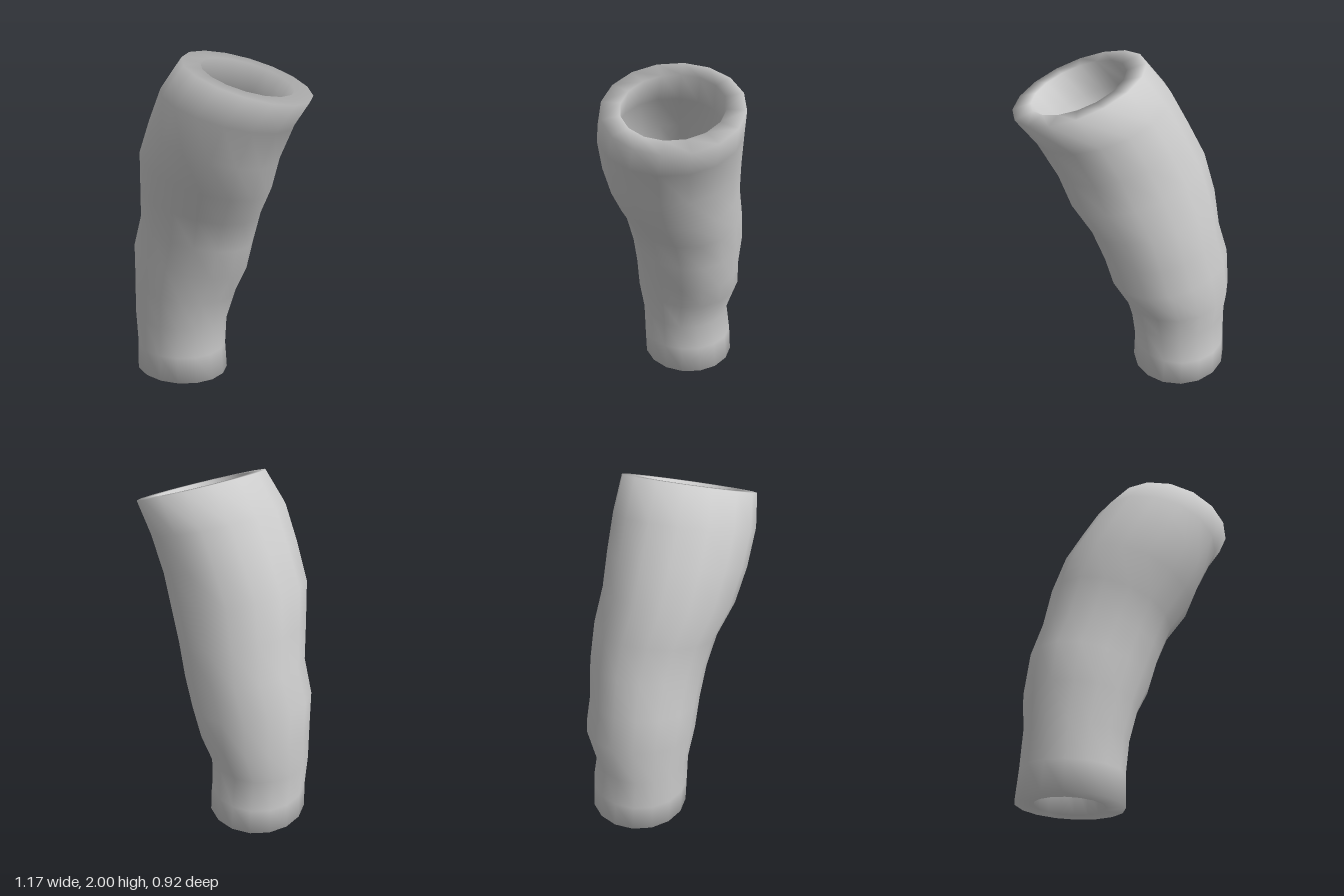
import * as THREE from 'three';

const SIDES = 16;
const WALL = 0.1;

// Tilted elliptical sections, bottom to top:
// left y, left x (-x side), right y, right x (+x side), front z, back z, front/back tilt
const SECTIONS = [
  [0.04, -0.59, 0.01, -0.01, 0.135, -0.44, 0],
  [0.20, -0.58, 0.18, -0.02, 0.14, -0.43, 0],
  [0.40, -0.585, 0.36, 0.00, 0.145, -0.40, 0],
  [0.62, -0.58, 0.54, 0.05, 0.18, -0.46, 0],
  [0.84, -0.57, 0.70, 0.135, 0.20, -0.435, 0],
  [1.04, -0.505, 0.88, 0.18, 0.23, -0.435, -0.01],
  [1.25, -0.48, 1.06, 0.24, 0.28, -0.41, -0.02],
  [1.46, -0.435, 1.22, 0.33, 0.37, -0.365, -0.03],
  [1.65, -0.34, 1.40, 0.385, 0.425, -0.345, -0.03],
  [1.83, -0.245, 1.60, 0.48, 0.46, -0.32, -0.03],
  [2.00, -0.11, 1.75, 0.585, 0.455, -0.285, -0.04],
];

// Points of one section, shrunk towards its centre by the inset
function ring([yl, xl, yr, xr, zf, zb, tilt], inset) {
  const rx = (xr - xl) / 2, rz = (zf - zb) / 2;
  const points = [];
  for (let j = 0; j < SIDES; j++) {
    const a = (j / SIDES) * Math.PI * 2;
    const u = Math.cos(a) * (1 - inset / rx);
    const w = Math.sin(a) * (1 - inset / rz);
    points.push(
      (xl + xr) / 2 + rx * u,
      (yl + yr) / 2 + ((yr - yl) / 2) * u + tilt * w,
      (zf + zb) / 2 + rz * w
    );
  }
  return points;
}

export function createModel() {
  const group = new THREE.Group();
  group.name = 'sleeve';

  // Outer wall upwards, over the rim, inner wall back down to the bottom hem
  const rings = [
    ...SECTIONS.map((s) => ring(s, 0)),
    ...SECTIONS.slice().reverse().map((s) => ring(s, WALL)),
  ];
  const index = [];
  for (let i = 0; i < rings.length; i++) {
    const next = (i + 1) % rings.length;
    for (let j = 0; j < SIDES; j++) {
      const k = (j + 1) % SIDES;
      const a = i * SIDES + j, b = next * SIDES + j;
      const c = next * SIDES + k, d = i * SIDES + k;
      index.push(a, b, c, a, c, d);
    }
  }
  const geometry = new THREE.BufferGeometry();
  geometry.setAttribute('position', new THREE.Float32BufferAttribute(rings.flat(), 3));
  geometry.setIndex(index);
  geometry.computeVertexNormals();

  const sleeve = new THREE.Mesh(geometry, new THREE.MeshStandardMaterial({ color: 0xcccccc }));
  sleeve.name = 'sleeveTube';
  group.add(sleeve);
  return group;
}
